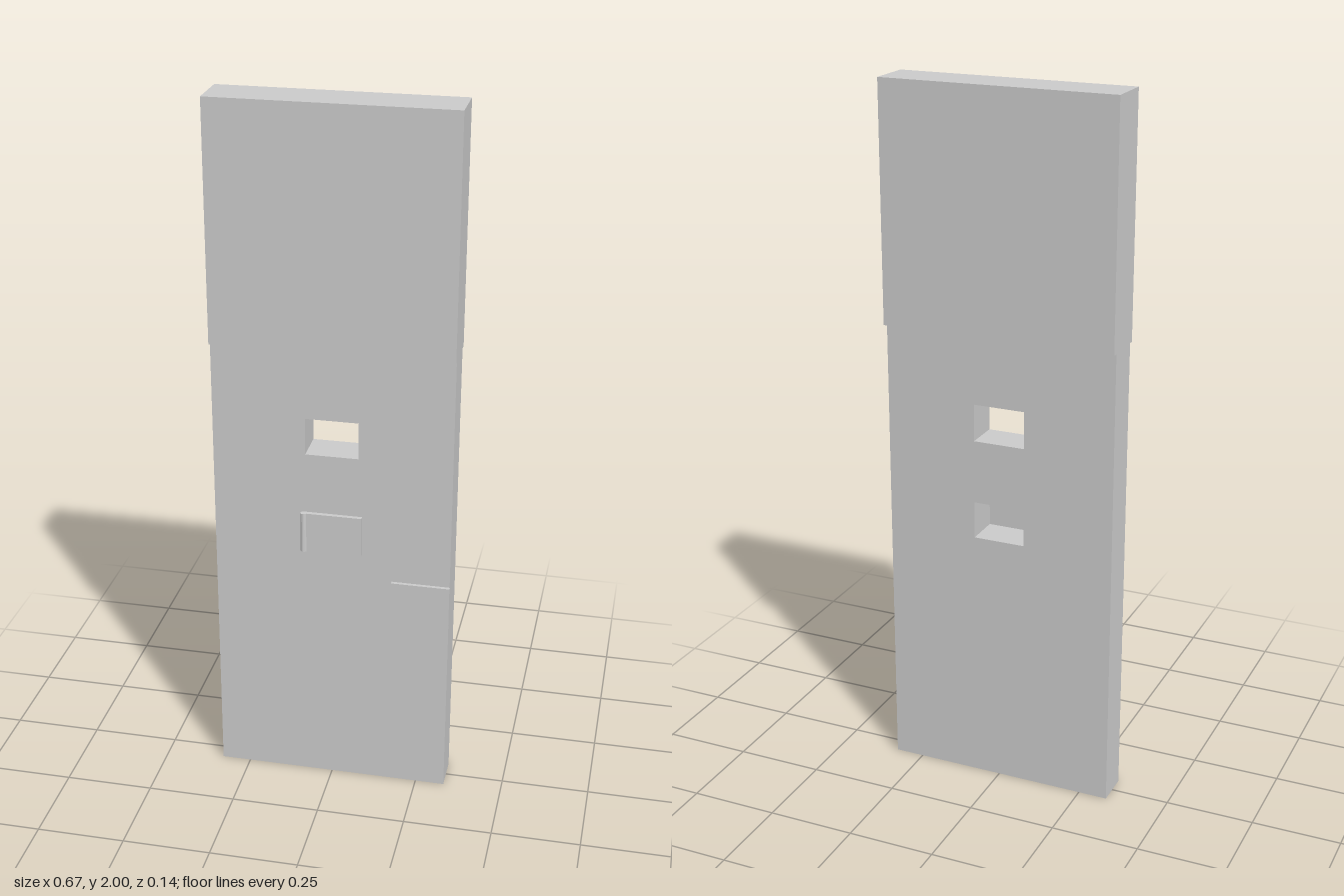
import * as THREE from 'three';

const material = new THREE.MeshStandardMaterial({ color: 0xcccccc, flatShading: true });

function add(parent, name, geometry, x = 0, y = 0, z = 0) {
  const mesh = new THREE.Mesh(geometry, material);
  mesh.name = name;
  mesh.position.set(x, y, z);
  parent.add(mesh);
  return mesh;
}

// Box given by its minimum and maximum corners
function addBox(parent, name, [x0, y0, z0], [x1, y1, z1]) {
  return add(parent, name, new THREE.BoxGeometry(x1 - x0, y1 - y0, z1 - z0),
    (x0 + x1) / 2, (y0 + y1) / 2, (z0 + z1) / 2);
}

function rectangle(path, x0, y0, x1, y1) {
  path.moveTo(x0, y0);
  path.lineTo(x1, y0);
  path.lineTo(x1, y1);
  path.lineTo(x0, y1);
  path.closePath();
  return path;
}

export function createModel() {
  const model = new THREE.Group();
  model.name = 'panel';
  const back = -0.051, front = 0.051, joint = 1.333;

  // Lower slab with two rectangular openings cut right through
  const slab = rectangle(new THREE.Shape(), -0.333, 0, 0.333, joint);
  for (const y of [0.795, 1.082]) {
    slab.holes.push(rectangle(new THREE.Path(), -0.074, y - 0.053, 0.074, y + 0.053));
  }
  add(model, 'lowerSlab',
    new THREE.ExtrudeGeometry(slab, { depth: front - back, bevelEnabled: false }), 0, 0, back);

  // Thicker upper block
  addBox(model, 'upperBlock', [-0.334, joint, -0.07], [0.333, 2, 0.062]);

  // Hinged flap covering the lower opening
  const flap = new THREE.Group();
  flap.name = 'flap';
  model.add(flap);
  addBox(flap, 'flapPlate', [-0.078, 0.736, front], [0.085, 0.854, 0.063]);
  add(flap, 'flapHinge', new THREE.CylinderGeometry(0.009, 0.009, 0.118, 16), -0.078, 0.795, 0.059);

  // Plate at the edge of the slab
  addBox(model, 'edgePlate', [0.17, 0.545, front], [0.334, 0.661, 0.061]);

  return model;
}
